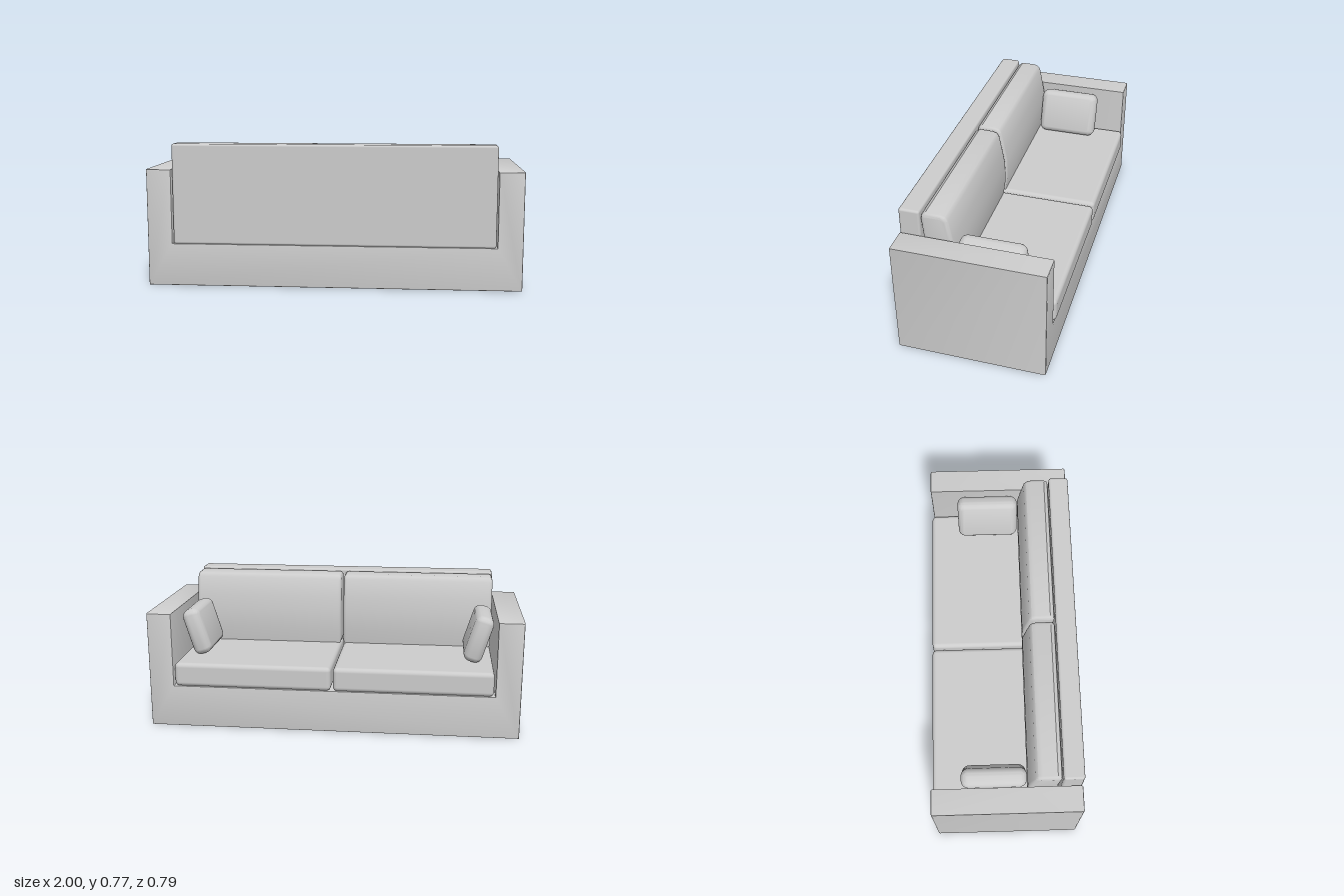
import * as THREE from 'three';
import { toCreasedNormals } from 'three/addons/utils/BufferGeometryUtils.js';
import { RoundedBoxGeometry } from 'three/addons/geometries/RoundedBoxGeometry.js';

const material = new THREE.MeshStandardMaterial({ color: 0xcccccc });

function addMesh(parent, name, geometry, x = 0, y = 0, z = 0) {
  const mesh = new THREE.Mesh(geometry, material);
  mesh.name = name;
  mesh.position.set(x, y, z);
  parent.add(mesh);
  return mesh;
}

// Extrudes a profile to a total depth, keeping the bevel inside the outline
function bevelled(points, depth, bevel, segments) {
  const shape = new THREE.Shape(points.map(([a, b]) => new THREE.Vector2(a, b)));
  const geometry = new THREE.ExtrudeGeometry(shape, {
    depth: depth - 2 * bevel, bevelSize: bevel, bevelThickness: bevel,
    bevelOffset: -bevel, bevelSegments: segments,
  });
  geometry.translate(0, 0, bevel - depth / 2);
  return toCreasedNormals(geometry, 0.6);
}

export function createModel() {
  const sofa = new THREE.Group();
  sofa.name = 'sofa';

  // Base and both arms in one U-shaped body
  const body = [
    [-1, 0], [1, 0], [1, 0.63], [0.866, 0.63],
    [0.866, 0.23], [-0.866, 0.23], [-0.866, 0.63], [-1, 0.63],
  ];
  addMesh(sofa, 'baseAndArms', bevelled(body, 0.784, 0.007, 2), 0, 0, 0.005);

  // Backrest panel, flush with the rear
  addMesh(sofa, 'backrest', new RoundedBoxGeometry(1.72, 0.54, 0.108, 2, 0.013), 0, 0.497, 0.343);

  // Side profile (z, y) of a back cushion
  const backProfile = [
    [0.27, 0.355], [0.277, 0.62], [0.286, 0.725], [0.281, 0.746], [0.262, 0.759],
    [0.185, 0.758], [0.162, 0.75], [0.148, 0.732], [0.128, 0.63], [0.115, 0.555],
    [0.115, 0.44], [0.127, 0.355],
  ];
  const backGeometry = bevelled(backProfile, 0.85, 0.018, 3).rotateY(-Math.PI / 2);
  const seatGeometry = new RoundedBoxGeometry(0.852, 0.13, 0.677, 3, 0.024);
  const pillowGeometry = new RoundedBoxGeometry(0.105, 0.26, 0.345, 4, 0.04);

  // Thin the pillow towards its rim
  const pos = pillowGeometry.attributes.position;
  for (let i = 0; i < pos.count; i++) {
    const rim = Math.max(Math.abs(pos.getY(i)) / 0.13, Math.abs(pos.getZ(i)) / 0.1725);
    pos.setX(i, pos.getX(i) * (1.06 - 0.12 * rim * rim));
  }
  pillowGeometry.computeVertexNormals();
  const smoothPillow = toCreasedNormals(pillowGeometry, 0.8);

  // Cushions on each half, with a pillow leaning on each arm
  for (const [side, s] of [['left', 1], ['right', -1]]) {
    addMesh(sofa, side + 'SeatCushion', seatGeometry, s * 0.432, 0.295, -0.0585);
    addMesh(sofa, side + 'BackCushion', backGeometry, s * 0.432, 0, 0);
    const pillow = addMesh(sofa, side + 'Pillow', smoothPillow, s * 0.776, 0.49, -0.062);
    pillow.rotation.z = -s * 0.3;
  }
  return sofa;
}
